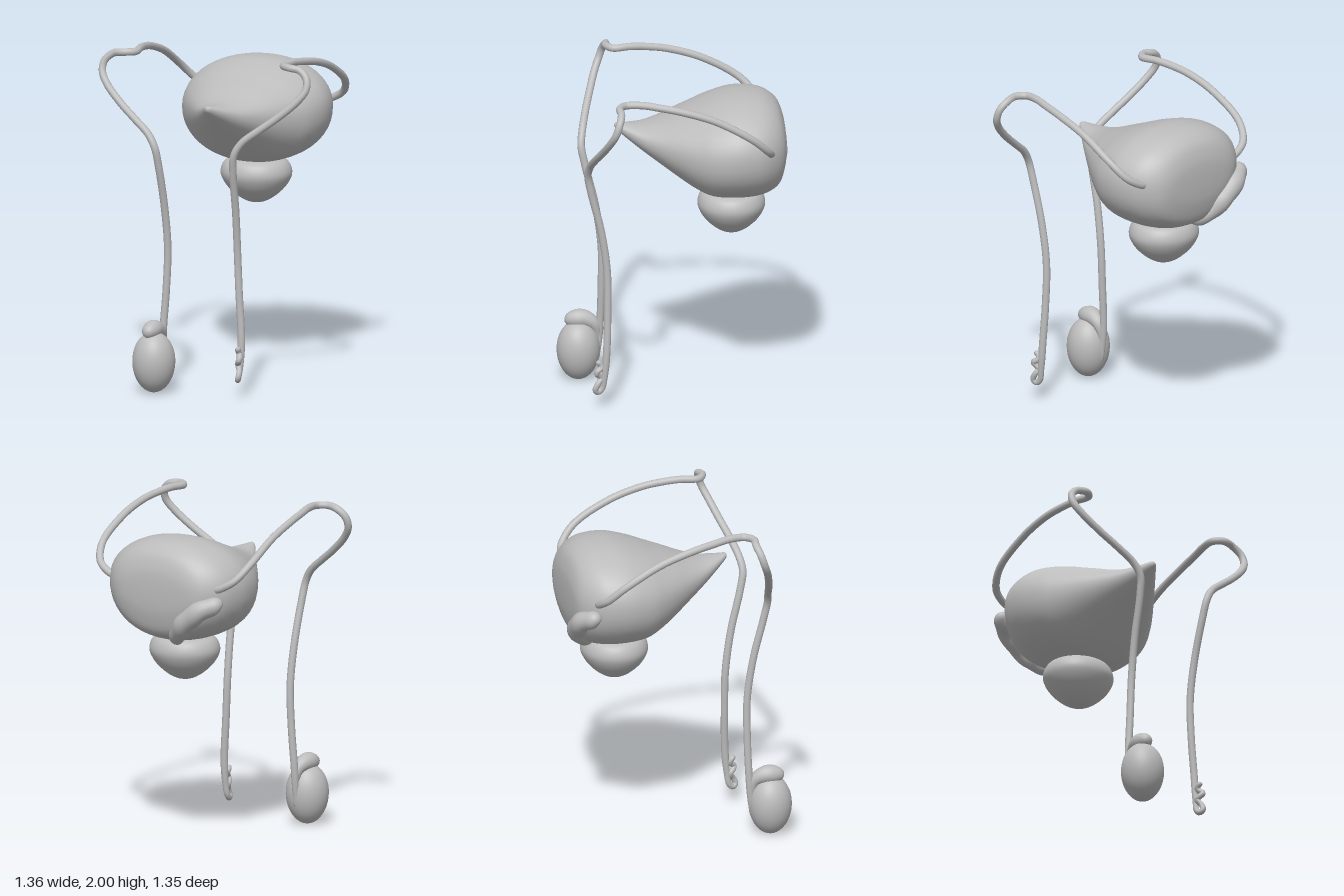
import * as THREE from 'three';
import { mergeVertices } from 'three/addons/utils/BufferGeometryUtils.js';

const grey = new THREE.MeshStandardMaterial({ color: 0xbcbcbc });
grey.name = 'grey';

function part(name, geometry) {
  const mesh = new THREE.Mesh(geometry, grey);
  mesh.name = name;
  return mesh;
}

// Weld the seams so that the surface shades smoothly
function smooth(geometry) {
  geometry.deleteAttribute('normal');
  geometry.deleteAttribute('uv');
  const welded = mergeVertices(geometry, 1e-5);
  welded.computeVertexNormals();
  return welded;
}

const spline = (points, side = 1) =>
  new THREE.CatmullRomCurve3(points.map(([x, y, z]) => new THREE.Vector3(x * side, y, z)));

// Tube with a radius rule along its length and rounded, closed ends
function variedTube(curve, segments, sides, radius, round) {
  const geometry = new THREE.TubeGeometry(curve, segments, 1, sides);
  const pos = geometry.attributes.position;
  const p = new THREE.Vector3();
  for (let i = 0; i <= segments; i++) {
    const t = i / segments;
    const centre = curve.getPointAt(t);
    const e = Math.min(1, Math.min(t, 1 - t) / round);
    for (let j = 0; j <= sides; j++) {
      const k = i * (sides + 1) + j;
      const r = radius(t, (j / sides) * Math.PI * 2) * Math.sqrt(e * (2 - e));
      p.fromBufferAttribute(pos, k).sub(centre).multiplyScalar(r).add(centre);
      pos.setXYZ(k, p.x, p.y, p.z);
    }
  }
  return smooth(geometry);
}

// Pointed sac, lofted from front to back: z, half width, top, bottom
function sacGeometry() {
  const rows = [
    [0.362, 0, 1.68, 1.675], [0.35, 0.022, 1.694, 1.655], [0.3, 0.062, 1.69, 1.61],
    [0.2, 0.14, 1.688, 1.53], [0.1, 0.218, 1.712, 1.455], [0, 0.295, 1.75, 1.38],
    [-0.1, 0.365, 1.787, 1.31], [-0.2, 0.42, 1.825, 1.262], [-0.33, 0.448, 1.86, 1.25],
    [-0.45, 0.432, 1.86, 1.255], [-0.53, 0.392, 1.84, 1.275], [-0.595, 0.325, 1.79, 1.32],
    [-0.628, 0.245, 1.71, 1.42], [-0.638, 0.12, 1.64, 1.5], [-0.64, 0, 1.572, 1.57],
  ];
  const widths = new THREE.CatmullRomCurve3(
    rows.map(([z, w]) => new THREE.Vector3(w, 0, z)), false, 'catmullrom');
  const heights = new THREE.CatmullRomCurve3(
    rows.map(([, , top, bottom]) => new THREE.Vector3(top, bottom, 0)), false, 'catmullrom');
  const rings = 56, sides = 48, positions = [], index = [];
  const bulge = (v) => Math.sign(v) * Math.abs(v) ** 0.94;
  for (let i = 0; i <= rings; i++) {
    const { x: w, z } = widths.getPoint(i / rings);
    const { x: top, y: bottom } = heights.getPoint(i / rings);
    const mid = bottom + (top - bottom) * 0.54;
    for (let j = 0; j < sides; j++) {
      const a = (j / sides) * Math.PI * 2;
      const s = bulge(Math.sin(a));
      positions.push(w * bulge(Math.cos(a)), mid + s * (s > 0 ? top - mid : mid - bottom), z);
      if (i < rings) {
        const here = i * sides + j, next = i * sides + ((j + 1) % sides);
        index.push(here, here + sides, next, next, here + sides, next + sides);
      }
    }
  }
  const geometry = new THREE.BufferGeometry();
  geometry.setAttribute('position', new THREE.Float32BufferAttribute(positions, 3));
  geometry.setIndex(index);
  geometry.computeVertexNormals();
  return geometry;
}

// Long duct: from the back of the sac, over the top, down the front, into a small coil
const ductPath = [
  [0.36, 1.605, -0.53], [0.41, 1.625, -0.527], [0.48, 1.67, -0.5], [0.53, 1.76, -0.41],
  [0.537, 1.88, -0.2], [0.53, 1.945, 0], [0.51, 1.97, 0.14], [0.49, 1.98, 0.23],
  [0.478, 1.977, 0.33], [0.53, 1.977, 0.37], [0.6, 1.965, 0.365], [0.65, 1.92, 0.38],
  [0.655, 1.86, 0.4], [0.61, 1.79, 0.43], [0.5, 1.69, 0.47], [0.4, 1.615, 0.5],
  [0.3, 1.535, 0.525], [0.255, 1.46, 0.535], [0.24, 1.35, 0.515], [0.23, 1.1, 0.455],
  [0.225, 0.85, 0.42], [0.235, 0.6, 0.418], [0.252, 0.35, 0.425], [0.252, 0.2, 0.437],
  [0.248, 0.13, 0.45], [0.252, 0.108, 0.475], [0.262, 0.125, 0.492], [0.262, 0.165, 0.475],
  [0.245, 0.195, 0.455], [0.255, 0.215, 0.475], [0.268, 0.235, 0.485],
  [0.252, 0.262, 0.455], [0.25, 0.288, 0.468], [0.265, 0.292, 0.485],
];

export function createModel() {
  const model = new THREE.Group();
  model.name = 'organModel';
  model.add(part('sac', sacGeometry()));

  // Rounded gland under the sac
  const profile = new THREE.SplineCurve([
    [0, 1.0], [0.05, 1.006], [0.11, 1.038], [0.17, 1.092], [0.206, 1.15],
    [0.211, 1.195], [0.19, 1.24], [0.15, 1.262], [0.08, 1.27], [0, 1.272],
  ].map(([r, y]) => new THREE.Vector2(r, y))).getPoints(36);
  profile.forEach((p) => { p.x = Math.max(0, p.x); });
  const gland = part('lowerGland', new THREE.LatheGeometry(profile, 40));
  gland.scale.z = 0.935;
  gland.position.z = -0.325;
  model.add(gland);

  // Ducts on both sides
  for (const [name, side] of [['left', 1], ['right', -1]]) {
    model.add(part(name + 'Duct', variedTube(spline(ductPath, side), 420, 12,
      (t) => 0.022 - 0.005 * THREE.MathUtils.smoothstep(t, 0.86, 0.92), 0.005)));
  }

  // Egg-shaped gland on the right only
  const egg = new THREE.SphereGeometry(1, 36, 24);
  const pos = egg.attributes.position;
  for (let i = 0; i < pos.count; i++) {
    const y = pos.getY(i), f = 1 + 0.03 * y;
    pos.setXYZ(i, pos.getX(i) * 0.126 * f, y * 0.18, pos.getZ(i) * 0.127 * f);
  }
  const eggMesh = part('eggGland', smooth(egg));
  eggMesh.position.set(-0.253, 0.187, 0.552);
  model.add(eggMesh);

  // Cap lying over the egg, tapering down its back
  const cap = spline([
    [-0.268, 0.358, 0.632], [-0.264, 0.375, 0.58], [-0.26, 0.378, 0.52],
    [-0.25, 0.345, 0.462], [-0.25, 0.25, 0.437], [-0.25, 0.16, 0.442],
  ]);
  model.add(part('eggCap', variedTube(cap, 48, 16,
    (t) => 0.054 - 0.037 * THREE.MathUtils.smoothstep(t, 0.22, 0.8), 0.25)));

  // Lumpy pouch behind the sac, right only
  const pouch = spline([
    [-0.06, 1.265, -0.48], [-0.12, 1.32, -0.56], [-0.2, 1.4, -0.605],
    [-0.29, 1.475, -0.607], [-0.37, 1.52, -0.57], [-0.42, 1.545, -0.53],
  ]);
  model.add(part('lumpyPouch', variedTube(pouch, 60, 18,
    (t, a) => 0.038 + 0.024 * Math.sin(Math.PI * t * 0.9)
      + 0.003 * Math.sin(t * 22 + 2 * Math.sin(a)), 0.14)));

  return model;
}
